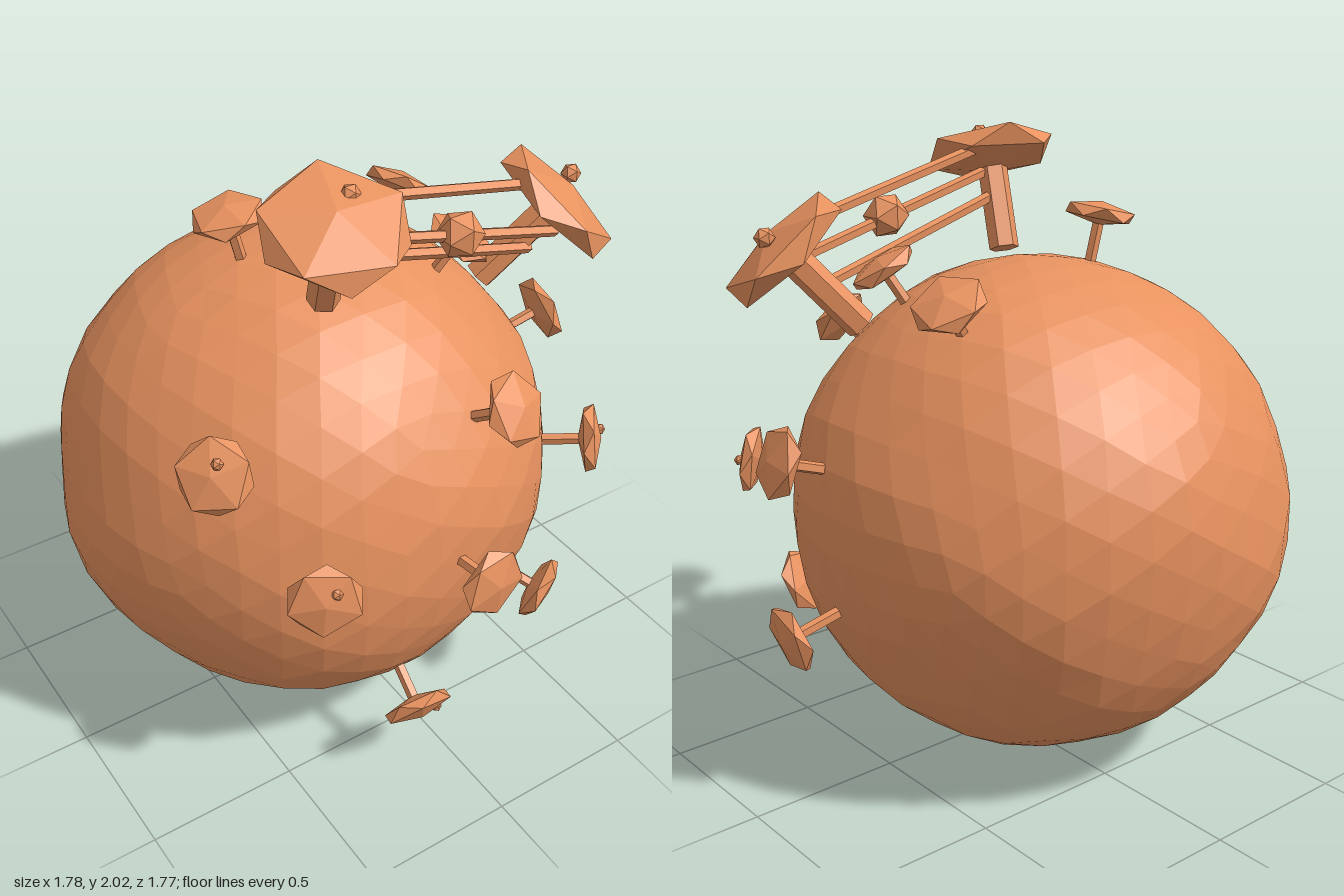
import * as THREE from 'three';

const mat = new THREE.MeshStandardMaterial({ color: 0xe8925f, flatShading: true });
const CENTER = new THREE.Vector3(-0.08, 0.81, -0.08);
const UP = new THREE.Vector3(0, 1, 0);
const v = (a) => new THREE.Vector3(...a);

function mesh(name, geometry) {
  const m = new THREE.Mesh(geometry, mat);
  m.name = name;
  return m;
}

// Straight rod between two points
function rod(name, a, b, radius, sides) {
  const m = mesh(name, new THREE.CylinderGeometry(radius, radius, a.distanceTo(b), sides));
  m.position.copy(a).add(b).multiplyScalar(0.5);
  m.quaternion.setFromUnitVectors(UP, b.clone().sub(a).normalize());
  return m;
}

// Lumpy faceted ball
function planetoid() {
  const g = new THREE.IcosahedronGeometry(1, 6);
  const p = g.attributes.position;
  const d = new THREE.Vector3();
  for (let i = 0; i < p.count; i++) {
    d.fromBufferAttribute(p, i).normalize();
    const { x, y, z } = d;
    const r = 0.81
      + 0.009 * Math.sin(5 * x + 2 * y + 1) * Math.cos(4 * z - 2 * y)
      + 0.008 * Math.sin(7 * y - 3 * z) * Math.cos(5 * x + 2)
      + 0.004 * Math.sin(13 * x + 4 * z) * Math.sin(12 * y + 1)
      + 0.012 * (x * y + 0.5 * x);
    d.multiplyScalar(r);
    p.setXYZ(i, d.x, d.y, d.z);
  }
  g.computeVertexNormals();
  const m = mesh('planetoid', g);
  m.position.copy(CENTER);
  return m;
}

// Flattened icosahedron cap with a corner on its axis
function capGeometry(radius, half) {
  const g = new THREE.IcosahedronGeometry(1, 0);
  const corner = new THREE.Vector3(0, 1, (1 + Math.sqrt(5)) / 2).normalize();
  g.applyQuaternion(new THREE.Quaternion().setFromUnitVectors(corner, UP));
  g.scale(radius, half, radius);
  return g;
}

// Post standing on the ball, carrying a cap and an optional knob
function stalk(name, at, { radius, half, post, sides, base, spin = 0, knob, knobSize }) {
  const group = new THREE.Group();
  group.name = name;
  const top = v(at);
  const dir = top.clone().sub(CENTER).normalize();
  const foot = CENTER.clone().addScaledVector(dir, base);
  group.add(rod(name + 'Post', foot, top, post, sides));

  const cap = mesh(name + 'Cap', capGeometry(radius, half));
  cap.position.copy(top);
  cap.quaternion.setFromUnitVectors(UP, dir);
  cap.rotateY(spin);
  group.add(cap);

  if (knob) {
    const k = mesh(name + 'Knob', new THREE.IcosahedronGeometry(knobSize, 0));
    k.position.copy(v(knob));
    group.add(k);
  }
  return group;
}

export function createModel() {
  const model = new THREE.Group();
  model.name = 'stalkedPlanetoid';
  model.add(planetoid());

  // Small stalks: cap centre, then knob position where there is one
  const small = [
    [[-0.7, 1.33, 0.48], [-0.7, 1.385, 0.5]],
    [[-0.51, 0.97, 0.74], [-0.49, 1.01, 0.77]],
    [[0.01, 0.86, 0.85]],
    [[-0.13, 0.27, 0.7], [-0.08, 0.27, 0.73]],
    [[0.43, 0.43, 0.61], [0.48, 0.45, 0.61]],
    [[0.64, 0.94, 0.55], [0.69, 0.95, 0.54]],
    [[0.84, 1.1, 0.04]],
    [[0.85, 0.55, 0]],
    [[0.18, 1.33, 0.69]],
    [[-0.3, 1.74, -0.11]],
    [[0.44, 1.57, -0.27]],
    [[0.35, 1.6, 0.18]],
  ];
  small.forEach(([at, knob], i) => model.add(stalk('smallStalk', at, {
    radius: 0.125, half: 0.038, post: 0.019, sides: 5, base: 0.79,
    spin: i * 0.7, knob, knobSize: 0.019,
  })));

  // Two large stalks
  const large = { radius: 0.24, half: 0.07, post: 0.05, sides: 6, base: 0.85, knobSize: 0.033 };
  model.add(stalk('largeStalk', [-0.23, 1.9, 0.36], { ...large, spin: 0.3, knob: [-0.16, 1.965, 0.33] }));
  model.add(stalk('largeStalk', [0.65, 1.68, 0.27], { ...large, spin: 0.9, knob: [0.74, 1.73, 0.225] }));

  // Bars linking the large stalks
  const bars = [
    [[-0.16, 1.935, 0.29], [0.6, 1.75, 0.25]],
    [[-0.2, 1.84, 0.34], [0.6, 1.62, 0.33]],
    [[-0.2, 1.765, 0.3], [0.56, 1.54, 0.26]],
  ];
  for (const [a, b] of bars) model.add(rod('linkBar', v(a), v(b), 0.019, 5));

  // Bead on the middle bar
  const bead = mesh('bead', new THREE.IcosahedronGeometry(0.075, 0));
  bead.position.set(0.22, 1.73, 0.34);
  model.add(bead);

  return model;
}
